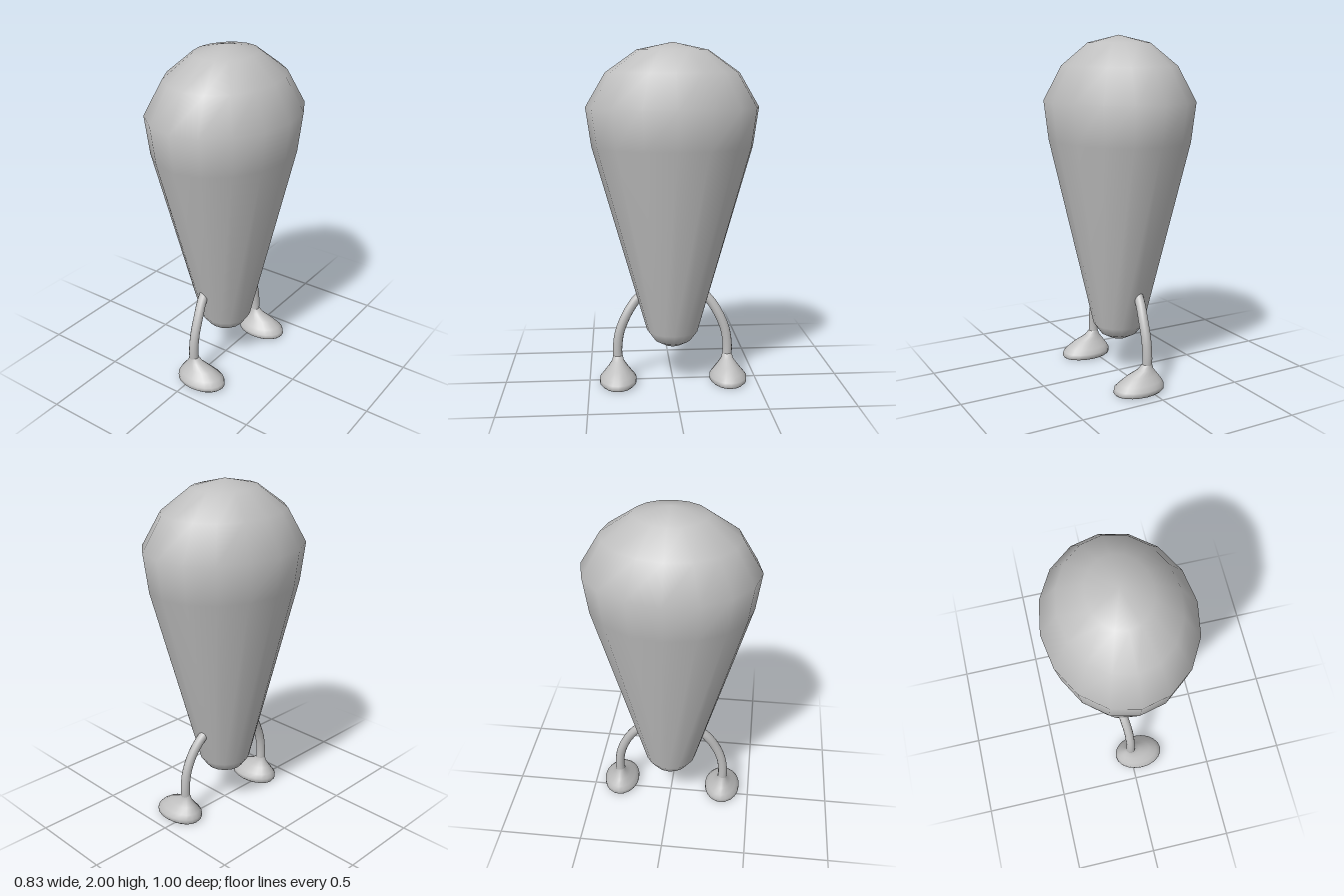
import * as THREE from 'three';
import { mergeVertices } from 'three/addons/utils/BufferGeometryUtils.js';

// Smooth skin over elliptical rings, listed bottom to top as [y, minX, maxX, halfZ]
function loft(rings, sides) {
  const pos = [], index = [];
  for (const [y, x0, x1, hz] of rings) {
    for (let j = 0; j < sides; j++) {
      const a = (j / sides) * Math.PI * 2;
      pos.push((x0 + x1) / 2 + ((x1 - x0) / 2) * Math.cos(a), y, hz * Math.sin(a));
    }
  }
  for (let i = 0; i < rings.length - 1; i++) {
    for (let j = 0; j < sides; j++) {
      const k = (j + 1) % sides;
      const a = i * sides + j, b = i * sides + k, c = a + sides, d = b + sides;
      index.push(a, c, b, b, c, d);
    }
  }
  let g = new THREE.BufferGeometry();
  g.setAttribute('position', new THREE.Float32BufferAttribute(pos, 3));
  g.setIndex(index);
  g = mergeVertices(g, 1e-5);
  g.computeVertexNormals();
  return g;
}

export function createModel() {
  const grey = new THREE.MeshStandardMaterial({ color: 0xc0c0c0 });
  grey.name = 'plain grey';
  const model = new THREE.Group();
  model.name = 'walkingBulb';
  const add = (parent, name, geometry) => {
    const mesh = new THREE.Mesh(geometry, grey);
    mesh.name = name;
    parent.add(mesh);
    return mesh;
  };

  // Tapered body: [y, half width, half depth]
  const body = [
    [0.21, 0, 0], [0.218, 0.05, 0.05], [0.25, 0.11, 0.11], [0.31, 0.152, 0.154],
    [1.41, 0.39, 0.468], [1.635, 0.415, 0.5], [1.83, 0.315, 0.385],
    [1.957, 0.17, 0.205], [2, 0, 0],
  ];
  add(model, 'body', loft(body.map(([y, w, d]) => [y, -w, w, d]), 16));

  // Foot with the toe pointing to +x, and its flat sole
  const footRings = [
    [0, -0.09, 0.2, 0.097], [0.012, -0.1, 0.211, 0.11], [0.035, -0.1, 0.205, 0.11],
    [0.06, -0.088, 0.18, 0.088], [0.095, -0.062, 0.13, 0.059],
    [0.125, -0.038, 0.06, 0.036], [0.155, -0.028, 0.029, 0.028],
  ];
  const footGeo = loft(footRings, 20);
  const soleGeo = loft([[0, 0.055, 0.055, 0], footRings[0]], 20);

  // One leg on +z and one on -z, toes both to +x
  for (const s of [1, -1]) {
    const leg = new THREE.Group();
    leg.name = s > 0 ? 'legNear' : 'legFar';
    const path = new THREE.CatmullRomCurve3([
      [0, 0.12, 0.33], [0, 0.2, 0.332], [0, 0.3, 0.318],
      [-0.004, 0.4, 0.278], [-0.015, 0.48, 0.228], [-0.024, 0.535, 0.175],
    ].map(([x, y, z]) => new THREE.Vector3(x, y, z * s)));
    add(leg, 'shin', new THREE.TubeGeometry(path, 20, 0.028, 12));
    add(leg, 'hip', new THREE.SphereGeometry(0.028, 12, 8)).position.copy(path.getPoint(1));
    add(leg, 'foot', footGeo).position.z = 0.33 * s;
    add(leg, 'sole', soleGeo).position.z = 0.33 * s;
    model.add(leg);
  }
  return model;
}
